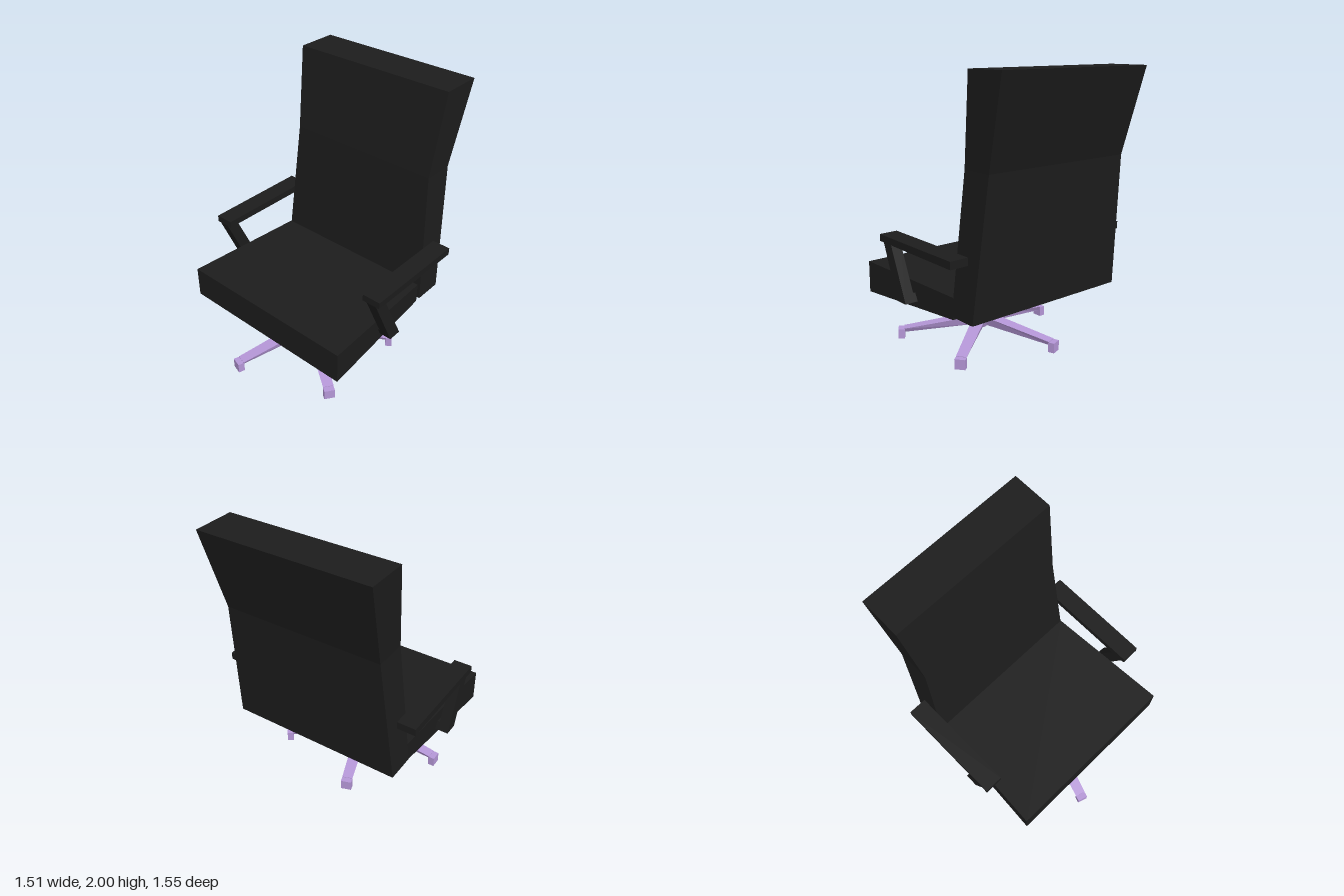
import * as THREE from 'three';

const dark = new THREE.MeshStandardMaterial({ color: 0x1c1c1c, flatShading: true });
const purple = new THREE.MeshStandardMaterial({ color: 0xb496d6, flatShading: true });

// Skin a stack of four-cornered sections, each counter-clockwise seen from the last end
function loft(name, rings, material) {
  const pos = [];
  const quad = (a, b, c, d) => pos.push(...a, ...b, ...c, ...a, ...c, ...d);
  for (let i = 0; i + 1 < rings.length; i++) {
    for (let j = 0; j < 4; j++) {
      const k = (j + 1) % 4;
      quad(rings[i][j], rings[i][k], rings[i + 1][k], rings[i + 1][j]);
    }
  }
  const first = rings[0];
  quad(first[3], first[2], first[1], first[0]);
  quad(...rings[rings.length - 1]);
  const geo = new THREE.BufferGeometry();
  geo.setAttribute('position', new THREE.Float32BufferAttribute(pos, 3));
  geo.computeVertexNormals();
  const mesh = new THREE.Mesh(geo, material);
  mesh.name = name;
  return mesh;
}

// Horizontal section at height y
const level = (y, x0, x1, front, back) =>
  [[x0, y, front], [x1, y, front], [x1, y, back], [x0, y, back]];

// Upright section at depth z, with separate bottom and top widths
const slice = (z, y0, y1, wBottom, wTop = wBottom, cx = 0) =>
  [[cx - wBottom, y0, z], [cx + wBottom, y0, z], [cx + wTop, y1, z], [cx - wTop, y1, z]];

function createArm() {
  const arm = new THREE.Group();
  arm.add(loft('armPad', [
    slice(-0.465, 0.82, 0.873, 0.067, 0.067, 0.69),
    slice(0.33, 0.83, 0.878, 0.067, 0.067, 0.69),
  ], dark));
  // Slanted post, with a foot turned in to the seat
  arm.add(loft('armPost', [
    level(0.445, 0.665, 0.742, 0.16, 0.06),
    level(0.832, 0.655, 0.732, 0.33, 0.24),
  ], dark));
  arm.add(loft('armFoot', [
    level(0.445, 0.6, 0.7, 0.16, 0.06),
    level(0.5, 0.6, 0.7, 0.184, 0.086),
  ], dark));
  return arm;
}

function createBase() {
  const base = new THREE.Group();
  base.name = 'base';
  base.position.set(0.005, 0, 0.165);
  const turn = THREE.MathUtils.degToRad(19);

  // Five-sided column and hub
  const prism = (name, rTop, rBottom, y0, y1) => {
    const mesh = new THREE.Mesh(
      new THREE.CylinderGeometry(rTop, rBottom, y1 - y0, 5, 1, false, turn), purple);
    mesh.position.y = (y0 + y1) / 2;
    mesh.name = name;
    base.add(mesh);
  };
  prism('column', 0.066, 0.083, 0.165, 0.45);
  prism('hub', 0.083, 0.045, 0.07, 0.165);

  // Five spokes, narrower underneath, each ending in a square foot
  for (let i = 0; i < 5; i++) {
    const leg = new THREE.Group();
    leg.name = 'leg';
    leg.rotation.y = THREE.MathUtils.degToRad(-17 + 72 * i);
    leg.add(loft('spoke', [
      slice(0.03, 0.09, 0.165, 0.022, 0.035),
      slice(0.067, 0.09, 0.16, 0.026, 0.049),
      slice(0.58, 0.045, 0.077, 0.02, 0.038),
    ], purple));
    leg.add(loft('foot', [
      level(0, -0.038, 0.038, 0.622, 0.575),
      level(0.073, -0.038, 0.038, 0.622, 0.575),
    ], purple));
    base.add(leg);
  }
  return base;
}

export function createModel() {
  const chair = new THREE.Group();
  chair.name = 'officeChair';

  // Wedge seat, thicker and wider at the front
  chair.add(loft('seat', [
    slice(-0.31, 0.42, 0.57, 0.625),
    slice(0.635, 0.365, 0.595, 0.675),
  ], dark));

  // Backrest, waisted and leaning further back above the bend
  chair.add(loft('backrest', [
    level(0.45, -0.643, 0.643, -0.318, -0.53),
    level(1.4, -0.583, 0.583, -0.39, -0.62),
    level(2, -0.618, 0.618, -0.475, -0.775),
  ], dark));

  // Mirrored arms
  for (const side of [1, -1]) {
    const arm = createArm();
    arm.name = side > 0 ? 'leftArm' : 'rightArm';
    arm.scale.x = side;
    chair.add(arm);
  }

  chair.add(createBase());
  return chair;
}
